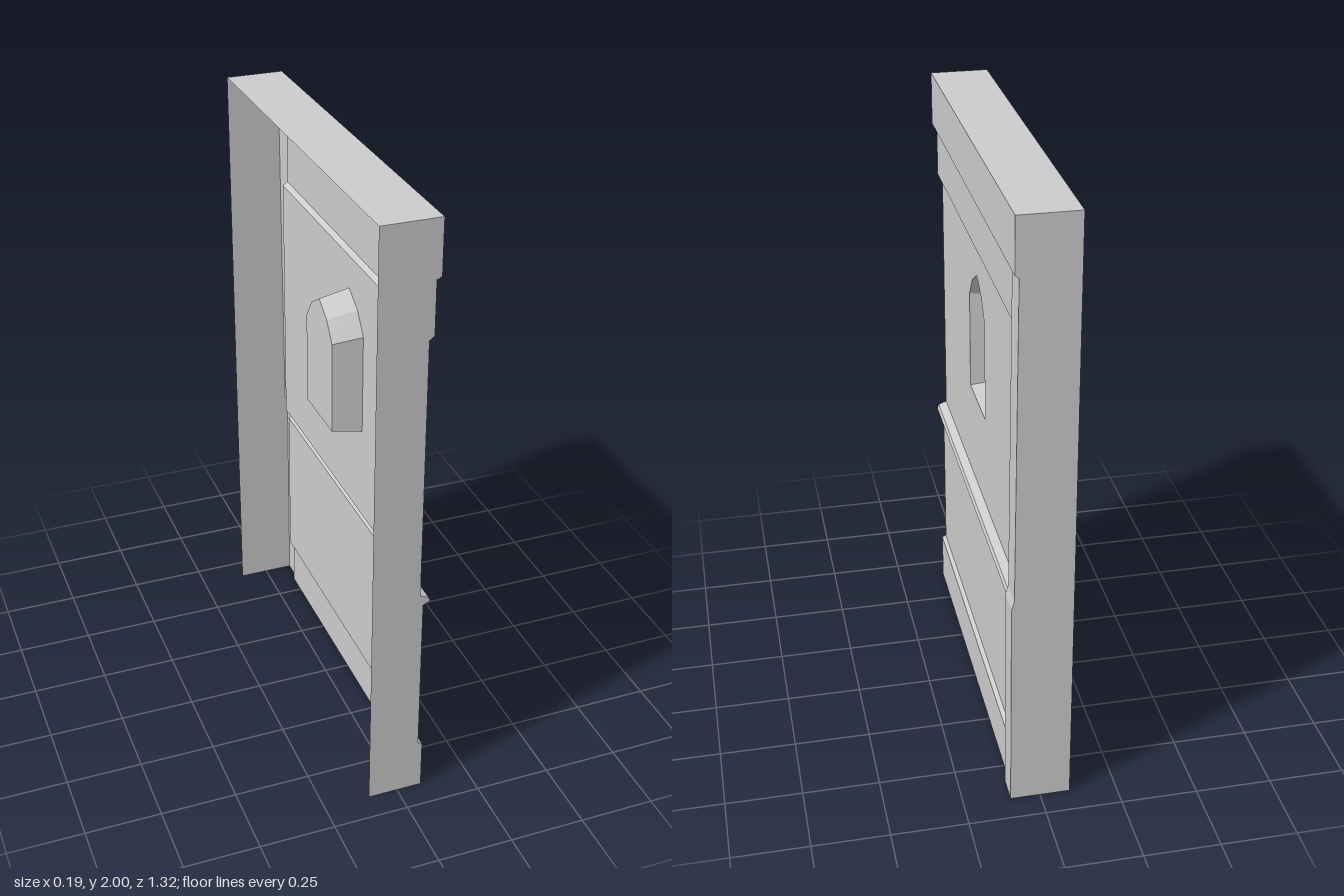
import * as THREE from 'three';

const material = new THREE.MeshStandardMaterial({ color: 0xcccccc, flatShading: true, side: THREE.DoubleSide });

const BACK = -0.098, END = 0.662, JAMB = -0.572;

// Profiles as [x, y], running downwards
const cornice = [[BACK, 2], [0.092, 2], [0.092, 1.826], [0.08, 1.817]];
const frieze = [[0.08, 1.817], [0.076, 1.817], [0.076, 1.645], [0.06, 1.633]];
const rail = [[0.06, 0.762], [0.088, 0.75], [0.094, 0.736], [0.07, 0.725]];
const base = [[0.07, 0.178], [0.084, 0.17], [0.084, 0]];
const pilaster = [[0.08, 1.817], [0.088, 0.765], [0.097, 0.735], [0.097, 0]];
const wall = [...frieze, ...rail, ...base];

// Niche outline as [z, y], a pointed arch
const NICHE_Z = 0.048, NICHE_Y = 1.265, NICHE_BACK = -0.04;
const arch = [[0.124, 1.075], [0.124, 1.41], [0.073, 1.48], [0, 1.525],
  [-0.073, 1.48], [-0.124, 1.41], [-0.124, 1.075]].map(([z, y]) => [z + NICHE_Z, y]);
const innerArch = arch.map(([z, y]) => [NICHE_Z + (z - NICHE_Z) * 0.92, NICHE_Y + (y - NICHE_Y) * 0.92]);

function add(group, name, geometry) {
  const mesh = new THREE.Mesh(geometry, material);
  mesh.name = name;
  group.add(mesh);
  return mesh;
}

// Flat quads joining two rows of points
function bridge(rowA, rowB) {
  const pos = [];
  for (let i = 0; i < rowA.length - 1; i++) {
    const [a, b, c, d] = [rowA[i], rowA[i + 1], rowB[i + 1], rowB[i]];
    pos.push(...a, ...b, ...c, ...a, ...c, ...d);
  }
  const g = new THREE.BufferGeometry();
  g.setAttribute('position', new THREE.Float32BufferAttribute(pos, 3));
  g.computeVertexNormals();
  return g;
}

// Sweep an [x, y] profile along z
function strip(profile, z0, z1) {
  const row = (z) => profile.map(([x, y]) => [x, y, z]);
  return bridge(row(z1), row(z0));
}

const toShape = (pts) => new THREE.Shape(pts.map(([x, y]) => new THREE.Vector2(x, y)));

// Flat face facing +x, outline in [z, y]
function facing(pts, x, hole) {
  const flip = (list) => list.map(([z, y]) => [-z, y]);
  const shape = toShape(flip(pts));
  if (hole) shape.holes.push(toShape(flip(hole)));
  return new THREE.ShapeGeometry(shape).rotateY(Math.PI / 2).translate(x, 0, 0);
}

// Flat face across the wall thickness at a given z
const section = (pts, z) => new THREE.ShapeGeometry(toShape(pts)).translate(0, 0, z);

export function createModel() {
  const model = new THREE.Group();
  model.name = 'wallPanel';

  // Horizontal mouldings
  add(model, 'topAndCornice', strip(cornice, -END, END));
  add(model, 'frieze', strip(frieze, JAMB, END));
  add(model, 'middleRail', strip(rail, JAMB, END));
  add(model, 'plinth', strip(base, JAMB, END));

  // Flat fields between the mouldings
  add(model, 'lowerPanel', strip([[0.07, 0.725], [0.07, 0.178]], JAMB, END));
  add(model, 'upperPanel', facing(
    [[END, 0.762], [JAMB, 0.762], [JAMB, 1.633], [END, 1.633]], 0.06, arch));

  // Arched niche, closed at the back
  const niche = new THREE.Group();
  niche.name = 'niche';
  const ring = (pts, x) => [...pts, pts[0]].map(([z, y]) => [x, y, z]);
  add(niche, 'nicheSides', bridge(ring(innerArch, NICHE_BACK), ring(arch, 0.06)));
  add(niche, 'nicheBack', facing(innerArch, NICHE_BACK));
  model.add(niche);

  // Pilaster with the side wall that meets the panels
  add(model, 'pilaster', strip(pilaster, -END, JAMB));
  add(model, 'pilasterSide', section([...pilaster, ...wall.slice(1).reverse()], JAMB));

  // End walls; back and underside stay open
  add(model, 'plainEnd', section([...cornice, ...wall.slice(1), [BACK, 0]], END));
  add(model, 'pilasterEnd', section([...cornice, ...pilaster.slice(1), [BACK, 0]], -END));

  return model;
}
